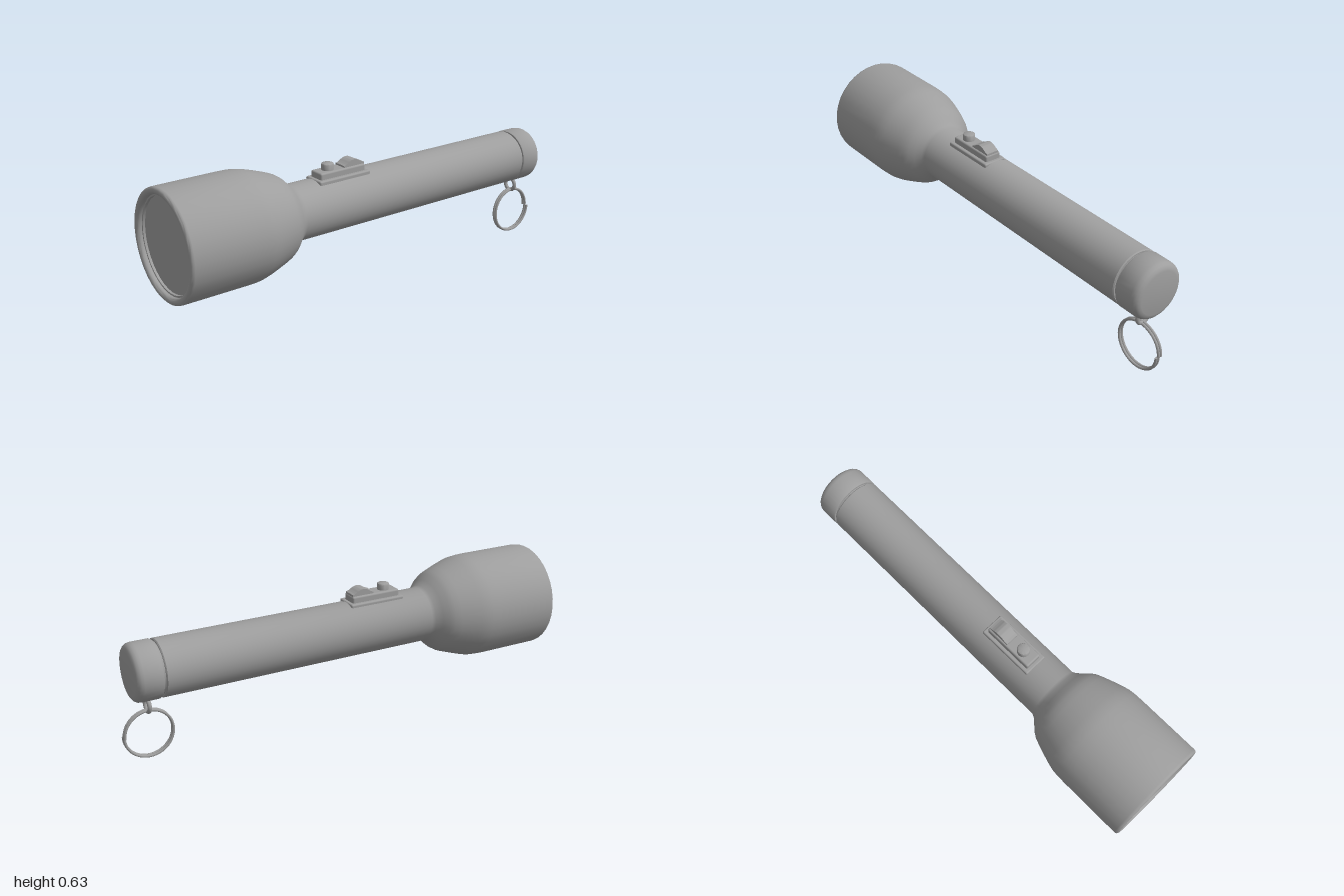
import * as THREE from 'three';
import { toCreasedNormals } from 'three/addons/utils/BufferGeometryUtils.js';
import { RoundedBoxGeometry } from 'three/addons/geometries/RoundedBoxGeometry.js';

const AXIS_Y = 0.392;
const SWITCH_X = 0.003;

export function createModel() {
  const group = new THREE.Group();
  const material = new THREE.MeshStandardMaterial({ color: 0x9e9e9e });

  const add = (name, geometry, x = 0, y = 0, z = 0) => {
    const mesh = new THREE.Mesh(geometry, material);
    mesh.name = name;
    mesh.position.set(x, y, z);
    group.add(mesh);
    return mesh;
  };

  // Turned part along z; profile is [radius, z] from back to front
  const turned = (name, profile, segments = 36) => {
    const points = profile.map(([r, z]) => new THREE.Vector2(r, z));
    const geometry = new THREE.LatheGeometry(points, segments).rotateX(Math.PI / 2);
    return add(name, toCreasedNormals(geometry, 0.7), 0, AXIS_Y, 0);
  };

  // Tail cap with rounded rear edge
  turned('tailCap', [
    [0, -0.957], [0.094, -0.957], [0.106, -0.954], [0.115, -0.947],
    [0.121, -0.937], [0.123, -0.925], [0.123, -0.85], [0.12, -0.845], [0.108, -0.845],
  ]);

  // Handle flowing smoothly into the flared head, with a tail groove,
  // a rolled rim and a stepped recess
  turned('body', [
    [0.112, -0.85], [0.112, -0.836], [0.118, -0.836], [0.122, -0.832],
    [0.122, 0.405], [0.129, 0.42], [0.15, 0.444], [0.171, 0.466], [0.185, 0.488],
    [0.196, 0.516], [0.211, 0.56], [0.224, 0.602], [0.231, 0.63], [0.234, 0.66],
    [0.235, 0.7], [0.235, 0.986], [0.233, 0.994], [0.227, 0.999], [0.22, 1],
    [0.212, 0.998], [0.207, 0.993], [0.205, 0.986], [0.205, 0.978],
    [0.198, 0.978], [0.197, 0.965],
  ]);
  turned('lens', [[0.199, 0.968], [0, 0.968]]);

  // Switch plates
  add('switchBase', new RoundedBoxGeometry(0.108, 0.035, 0.262, 3, 0.007), SWITCH_X, 0.499, 0.164);
  add('switchPlate', new RoundedBoxGeometry(0.076, 0.045, 0.232, 3, 0.008), SWITCH_X, 0.522, 0.164);

  // Round push button
  const button = [[0, 0], [0.027, 0], [0.027, 0.034], [0.0255, 0.038], [0.022, 0.04], [0, 0.04]]
    .map(([r, y]) => new THREE.Vector2(r, y));
  add('pushButton', toCreasedNormals(new THREE.LatheGeometry(button, 24), 0.7), SWITCH_X, 0.533, 0.22);

  // Thumb slider: a humped side profile extruded across x
  const hump = new THREE.Shape();
  hump.moveTo(-0.052, 0);
  hump.lineTo(0.052, 0);
  hump.lineTo(0.052, 0.012);
  hump.quadraticCurveTo(0.04, 0.014, 0.026, 0.024);
  hump.quadraticCurveTo(0, 0.04, -0.026, 0.024);
  hump.quadraticCurveTo(-0.04, 0.014, -0.052, 0.012);
  const slider = new THREE.ExtrudeGeometry(hump, { depth: 0.06, bevelEnabled: false, curveSegments: 8 });
  slider.translate(0, 0, -0.03).rotateY(-Math.PI / 2);
  add('thumbSlider', toCreasedNormals(slider, 0.7), SWITCH_X, 0.54, 0.103);

  // Eyelet under the tail cap
  add('eyelet', new THREE.TorusGeometry(0.029, 0.009, 10, 28), 0, 0.24, -0.886);

  // Split key ring: two coils side by side
  const coil = [];
  const steps = 96;
  for (let i = 0; i <= steps; i++) {
    const t = i / steps;
    const a = t * Math.PI * 4;
    const x = -0.004 + 0.024 * t;
    coil.push(new THREE.Vector3(x, 0.11 + 0.1045 * Math.sin(a), -0.886 - 0.1045 * Math.cos(a)));
  }
  const path = new THREE.CatmullRomCurve3(coil);
  add('keyRing', new THREE.TubeGeometry(path, 128, 0.006, 8));
  for (const end of [coil[0], coil[steps]]) {
    const cap = new THREE.CylinderGeometry(0.006, 0.006, 0.002, 8);
    add('keyRingEnd', cap, end.x, end.y, end.z);
  }

  return group;
}
